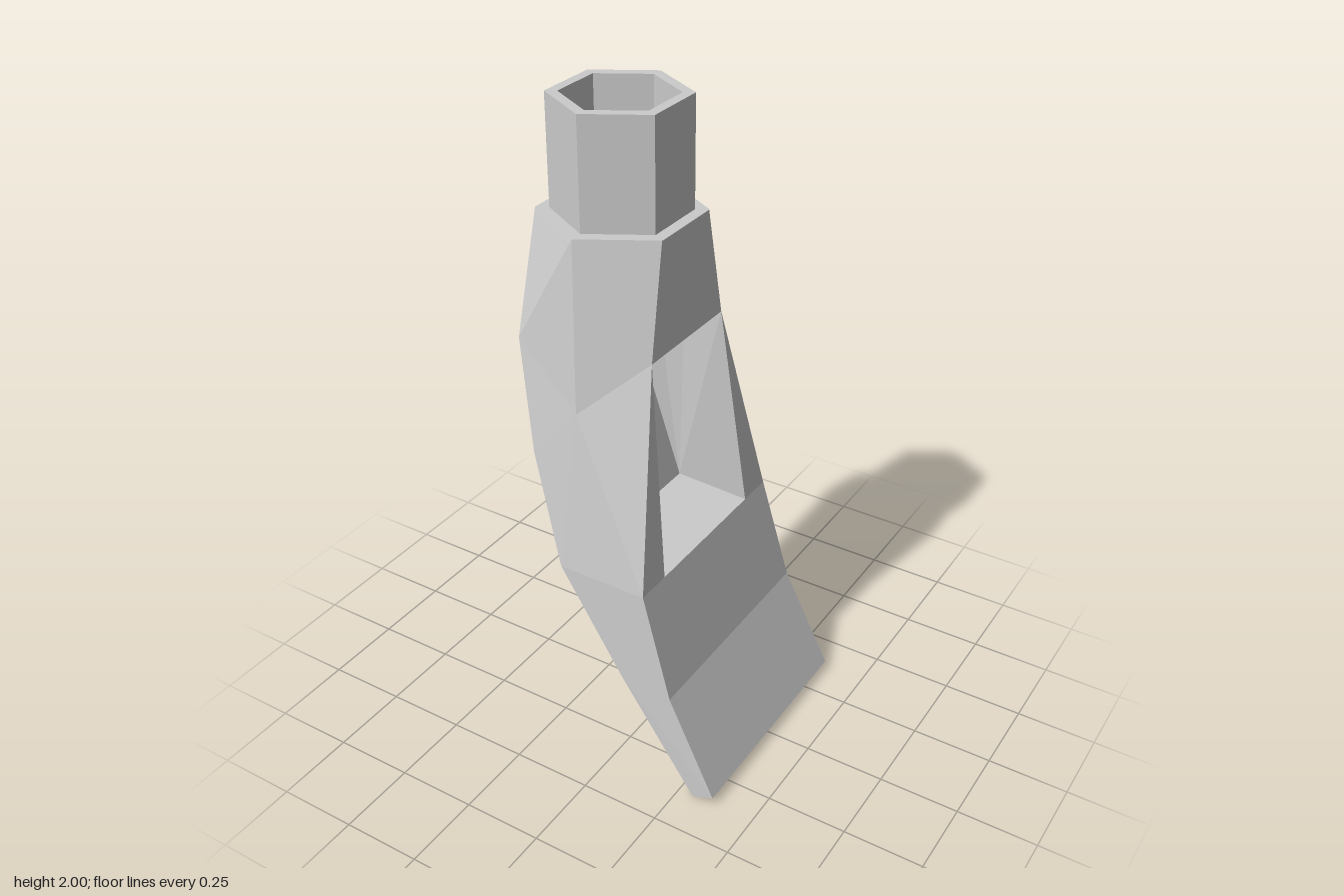
import * as THREE from 'three';

// Collects flat faces; each one is mirrored across z = 0.
function mirroredBuilder() {
  const pos = [];
  const mir = ([x, y, z]) => [x, y, -z];
  const poly = (pts) => {
    for (let i = 1; i < pts.length - 1; i++) pos.push(...pts[0], ...pts[i], ...pts[i + 1]);
  };
  return {
    // face on the +z half and its twin on the -z half
    side: (...pts) => { poly(pts); poly(pts.map(mir).reverse()); },
    // strips running straight across from +z to -z along a profile
    across: (...path) => {
      for (let i = 0; i < path.length - 1; i++) {
        const a = path[i], b = path[i + 1];
        poly([a, b, mir(b), mir(a)]);
      }
    },
    geometry: () => {
      const g = new THREE.BufferGeometry();
      g.setAttribute('position', new THREE.Float32BufferAttribute(pos, 3));
      g.computeVertexNormals();
      return g;
    },
  };
}

export function createModel() {
  const model = new THREE.Group();
  const material = new THREE.MeshStandardMaterial({
    color: 0xcccccc, flatShading: true, side: THREE.DoubleSide,
  });
  const add = (name, geometry) => {
    const mesh = new THREE.Mesh(geometry, material);
    mesh.name = name;
    model.add(mesh);
    return mesh;
  };

  // Hexagonal hollow neck with the shoulder ledge below it
  const neckProfile = [[0.24, 1.67], [0.2, 1.67], [0.2, 2], [0.165, 2], [0.165, 1.67]]
    .map(([r, y]) => new THREE.Vector2(r, y));
  add('neck', new THREE.LatheGeometry(neckProfile, 6)).position.x = -0.163;

  // Outer edges on the +z half: back edge, front edge and the side ridge
  const B = [[-0.37, 1.67, 0.12], [-0.35, 1.33, 0.25], [-0.28, 1, 0.3],
    [-0.165, 0.67, 0.35], [0.05, 0.35, 0.36], [0.3, 0, 0.365]];
  const F = [[0.043, 1.67, 0.12], [0.05, 1.33, 0.185], [0.12, 0.67, 0.35],
    [0.215, 0.34, 0.36], [0.37, 0.03, 0.367]];
  const M0 = [-0.163, 1.67, 0.24], M = [-0.13, 1.17, 0.295];
  const W = [0.12, 0.67, 0.235]; // lower corner of the window

  // Curved shell, flattening into a blade at the bottom
  const shell = mirroredBuilder();
  shell.side(B[0], B[1], M0);
  shell.side(B[1], M, M0);
  shell.side(B[1], B[2], M);
  shell.side(B[2], B[3], M);
  shell.side(B[3], F[2], M);
  shell.side(M, F[2], F[1]);
  shell.side(M0, M, F[1]);
  shell.side(M0, F[1], F[0]);
  shell.side(B[3], B[4], F[3], F[2]);
  shell.side(B[4], B[5], F[4], F[3]);
  shell.side(F[1], F[2], W); // window frame
  shell.across(F[0], F[1]);
  shell.across(F[2], F[3], F[4], ...[...B].reverse()); // blade, tip and back
  add('curvedShell', shell.geometry());

  // Inner passage from the neck down to the window: back, middle, front per level
  const rings = [
    [[-0.306, 1.67, 0.0825], [-0.163, 1.67, 0.165], [-0.02, 1.67, 0.0825]],
    [[-0.3, 1.5, 0.13], [-0.18, 1.5, 0.2], [-0.06, 1.5, 0.15]],
    [[-0.28, 1.25, 0.2], [-0.2, 1.25, 0.24], [-0.115, 1.25, 0.25]],
  ];
  const [lowBack, lowMid, lip] = rings[2];
  const D = [-0.13, 0.67, 0.25]; // back corner of the floor
  const inner = mirroredBuilder();
  for (let i = 0; i < 2; i++) {
    for (let j = 0; j < 2; j++) {
      inner.side(rings[i][j], rings[i][j + 1], rings[i + 1][j + 1], rings[i + 1][j]);
    }
  }
  inner.side(lowBack, lowMid, D);
  inner.side(lowMid, lip, D);
  inner.side(lip, F[1], W, D); // window cheeks
  inner.across(F[1], lip, rings[1][2], rings[0][2]); // window ceiling and front wall
  inner.across(rings[0][0], rings[1][0], lowBack, D, W); // back wall and floor
  add('innerPassage', inner.geometry());

  return model;
}
